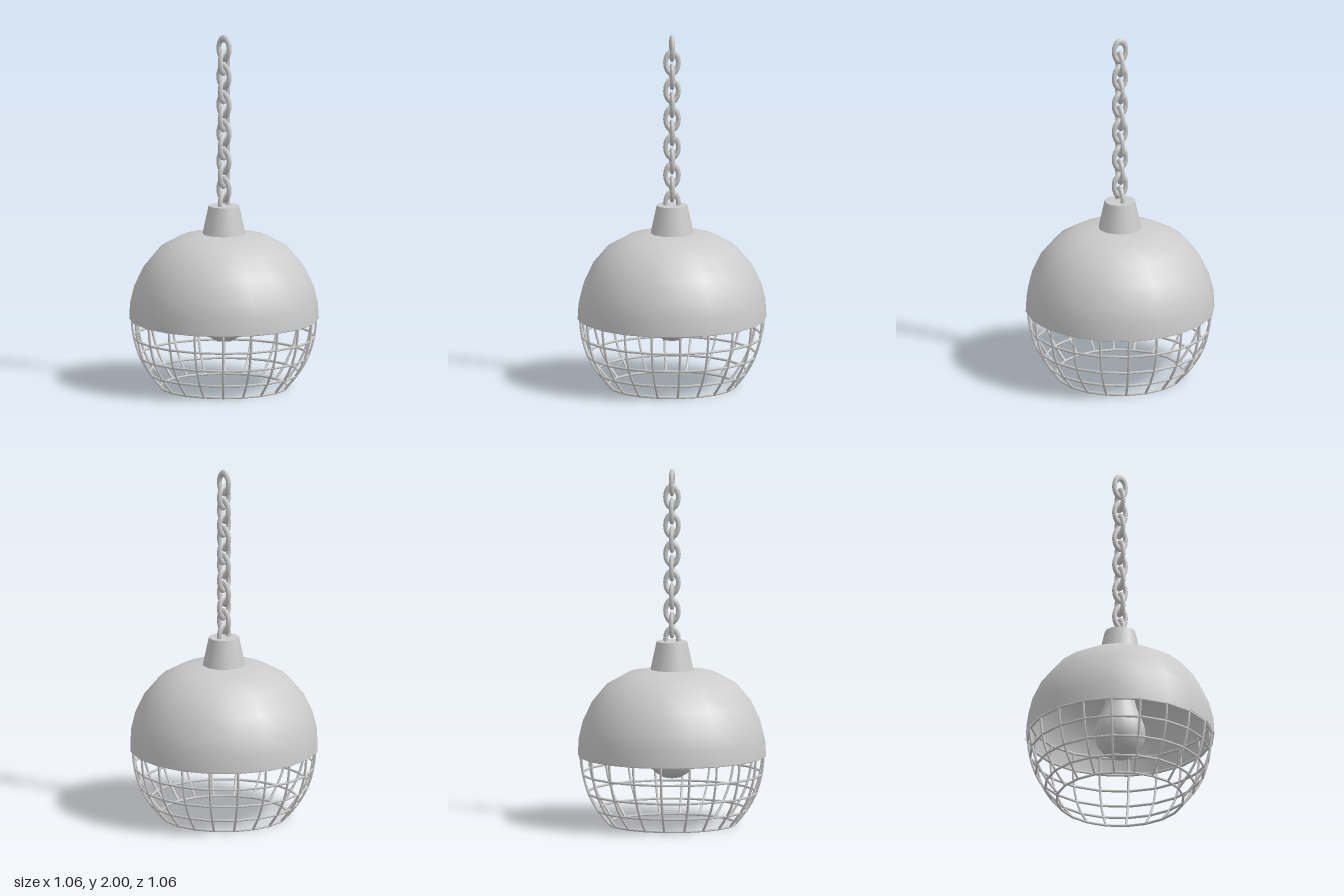
import * as THREE from 'three';

const SIDES = 20;
const mat = new THREE.MeshStandardMaterial({ color: 0xcccccc });
const matDouble = new THREE.MeshStandardMaterial({ color: 0xcccccc, side: THREE.DoubleSide });

function add(parent, name, geometry, material = mat) {
  const mesh = new THREE.Mesh(geometry, material);
  mesh.name = name;
  parent.add(mesh);
  return mesh;
}

const profile = (pairs) => pairs.map(([r, y]) => new THREE.Vector2(r, y));

export function createModel() {
  const model = new THREE.Group();
  model.name = 'cagePendantLamp';

  // Domed shade, open below
  add(model, 'shade', new THREE.LatheGeometry(profile([
    [0.528, 0.39], [0.523, 0.48], [0.5, 0.575], [0.448, 0.685],
    [0.365, 0.785], [0.25, 0.85], [0.12, 0.873], [0, 0.873],
  ]), SIDES), matDouble);

  // Tapered cap where the chain enters
  add(model, 'cap', new THREE.CylinderGeometry(0.086, 0.122, 0.165, 12)).position.y = 0.9475;

  // Wire cage: horizontal rings and vertical ribs
  const cage = new THREE.Group();
  cage.name = 'cage';
  model.add(cage);
  const wire = 0.007;
  const levels = [[0.355, wire], [0.418, 0.085], [0.471, 0.18], [0.502, 0.287], [0.514, 0.39], [0.508, 0.49]];
  for (const [r, y] of levels) {
    const ring = add(cage, 'cageRing', new THREE.TorusGeometry(r, wire, 6, SIDES));
    ring.rotation.x = Math.PI / 2;
    ring.position.y = y;
  }
  const ribPath = new THREE.CatmullRomCurve3(levels.map(([r, y]) => new THREE.Vector3(r, y, 0)));
  const ribGeometry = new THREE.TubeGeometry(ribPath, 10, wire, 6);
  for (let i = 0; i < SIDES; i++) {
    add(cage, 'cageRib', ribGeometry).rotation.y = (i / SIDES) * Math.PI * 2;
  }

  // Bulb with a narrowing neck
  add(model, 'bulb', new THREE.LatheGeometry(profile([
    [0, 0.258], [0.05, 0.267], [0.096, 0.295], [0.13, 0.34], [0.143, 0.395],
    [0.137, 0.45], [0.117, 0.505], [0.095, 0.555], [0.083, 0.61], [0.08, 0.66],
  ]), 24));

  // Socket holding the bulb inside the shade
  add(model, 'socket', new THREE.CylinderGeometry(0.086, 0.086, 0.23, 16)).position.y = 0.755;

  // Chain of oval links, each turned a quarter from the last
  const chain = new THREE.Group();
  chain.name = 'chain';
  model.add(chain);
  const linkGeometry = new THREE.TorusGeometry(0.036, 0.0135, 8, 20).scale(1, 1.57, 1);
  for (let i = 0; i < 12; i++) {
    const link = add(chain, 'chainLink', linkGeometry);
    link.position.y = 1.922 - i * 0.08;
    link.rotation.y = i % 2 === 0 ? Math.PI / 2 : 0;
  }

  return model;
}
